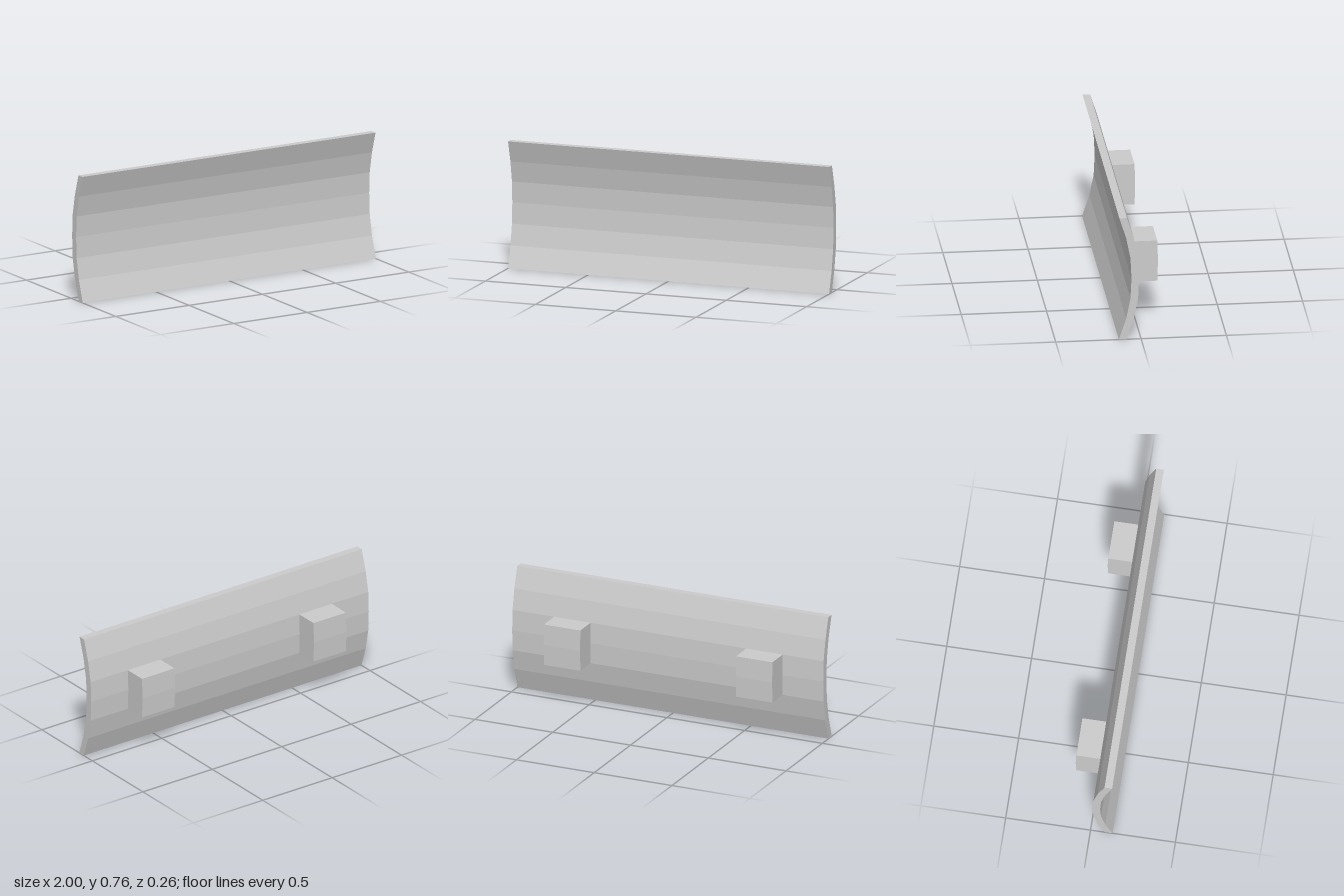
import * as THREE from 'three';

const material = new THREE.MeshStandardMaterial({ color: 0xcccccc, flatShading: true });

// Extrudes a side profile of [z, y] points along x, from xMin to xMax
function extrudeAlongX(name, profile, xMin, xMax) {
  const shape = new THREE.Shape(profile.map(([z, y]) => new THREE.Vector2(z, y)));
  const geometry = new THREE.ExtrudeGeometry(shape, { depth: xMax - xMin, bevelEnabled: false });
  geometry.rotateY(-Math.PI / 2);
  geometry.translate(xMax, 0, 0);
  const mesh = new THREE.Mesh(geometry, material);
  mesh.name = name;
  return mesh;
}

export function createModel() {
  const group = new THREE.Group();
  group.name = 'curvedBlade';

  // Concave front curve and the parallel back curve, bottom to top
  const front = [
    [0.13, 0], [0.087, 0.129], [0.062, 0.254], [0.056, 0.38],
    [0.062, 0.505], [0.087, 0.63], [0.127, 0.757],
  ];
  const back = [
    [0.085, 0], [0.042, 0.129], [0.017, 0.254], [0.012, 0.38],
    [0.017, 0.505], [0.042, 0.63], [0.082, 0.757],
  ];
  group.add(extrudeAlongX('blade', [...front, ...back.reverse()], -1, 1));

  // Mounting blocks: they follow the blade's back and bulge slightly at the rear
  const block = [
    [0.017, 0.254], [0.012, 0.38], [0.017, 0.505],
    [-0.124, 0.505], [-0.128, 0.38], [-0.124, 0.254],
  ];
  group.add(extrudeAlongX('leftMount', block, 0.498, 0.732));
  group.add(extrudeAlongX('rightMount', block, -0.737, -0.503));

  return group;
}
